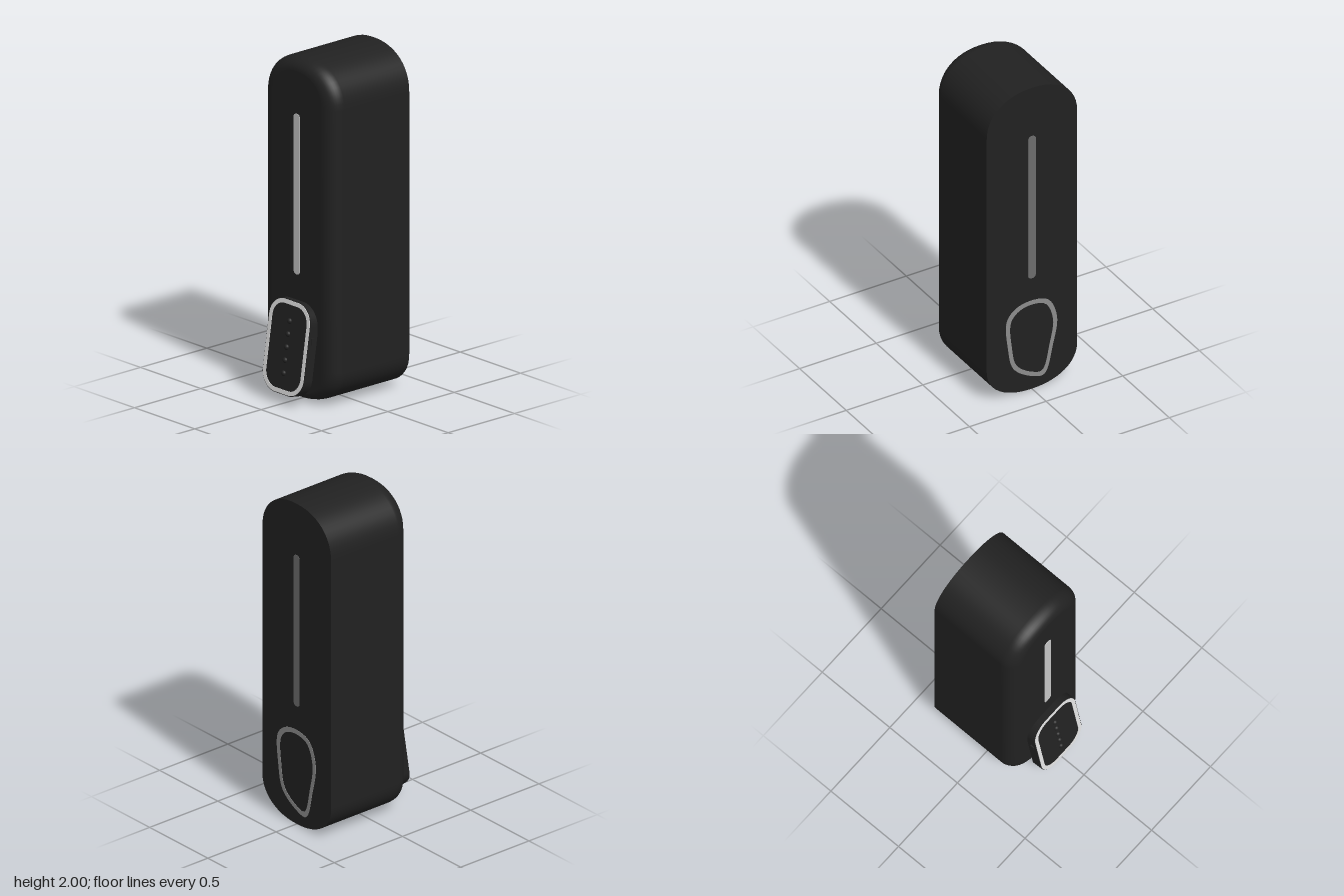
import * as THREE from 'three';

const mat = (name, color) => {
  const m = new THREE.MeshStandardMaterial({ color });
  m.name = name;
  return m;
};

// Rounded rectangle centred on the origin
function roundedRect(w, h, r, Kind = THREE.Shape) {
  const s = new Kind(), x = w / 2, y = h / 2;
  s.moveTo(-x + r, -y);
  s.lineTo(x - r, -y);
  s.absarc(x - r, -y + r, r, -Math.PI / 2, 0);
  s.lineTo(x, y - r);
  s.absarc(x - r, y - r, r, 0, Math.PI / 2);
  s.lineTo(-x + r, y);
  s.absarc(-x + r, y - r, r, Math.PI / 2, Math.PI);
  s.lineTo(-x, -y + r);
  s.absarc(-x + r, -y + r, r, Math.PI, Math.PI * 1.5);
  return s;
}

const plate = (shape, depth) =>
  new THREE.ExtrudeGeometry(shape, { depth, bevelEnabled: false, curveSegments: 12 });

// Outline with domed ends, inset by a fraction t of the front edge rounding
function outline(t) {
  const pts = [], n = 24, hx = 0.295 - 0.09 * t;
  const top = 2 - 0.07 * t, bottom = 0.04 * t;
  const end = (yMid, ry, from) => {
    for (let i = 0; i <= n; i++) {
      const a = from + Math.PI * i / n, c = Math.cos(a), s = Math.sin(a);
      const p = v => Math.sign(v) * Math.pow(Math.abs(v), 2 / 2.2);
      pts.push([hx * p(c), yMid + ry * p(s)]);
    }
  };
  end(1.75, top - 1.75, 0);
  end(0.21, 0.21 - bottom, Math.PI);
  return pts;
}

// Shell lofted from the back edge to the rounded front edge, then both flat faces
function bodyGeometry() {
  const BACK = -0.348, FRONT = 0.23, R = 0.09, steps = 10;
  const rings = [{ z: BACK, t: 0 }];
  for (let i = 0; i <= steps; i++) {
    const a = (i / steps) * Math.PI / 2;
    rings.push({ z: FRONT - R + R * Math.sin(a), t: 1 - Math.cos(a) });
  }
  const pos = [], idx = [];
  const addRing = ({ z, t }) => {
    const start = pos.length / 3;
    outline(t).forEach(([x, y]) => pos.push(x, y, z));
    return start;
  };
  const starts = rings.map(addRing);
  const n = outline(0).length;
  for (let k = 0; k < starts.length - 1; k++) {
    for (let i = 0; i < n; i++) {
      const j = (i + 1) % n, a = starts[k], b = starts[k + 1];
      idx.push(a + i, a + j, b + j, a + i, b + j, b + i);
    }
  }
  const cap = (ring, flip) => {
    const s = addRing(ring), c = pos.length / 3;
    pos.push(0, 1, ring.z);
    for (let i = 0; i < n; i++) {
      const j = (i + 1) % n;
      idx.push(c, s + (flip ? j : i), s + (flip ? i : j));
    }
  };
  cap(rings[0], true);
  cap(rings[rings.length - 1], false);
  const g = new THREE.BufferGeometry();
  g.setAttribute('position', new THREE.Float32BufferAttribute(pos, 3));
  g.setIndex(idx);
  g.computeVertexNormals();
  return g;
}

export function createModel() {
  const black = mat('matte black', 0x212121);
  const silver = mat('silver', 0xc6c6c6);
  const white = mat('bright trim', 0xdedede);
  const grey = mat('back grey', 0x6c6c6c);
  const paleGrey = mat('back ring grey', 0x8c8c8c);

  const model = new THREE.Group();
  model.name = 'dispenser';
  const add = (name, geo, material, x = 0, y = 0, z = 0, parent = model) => {
    const m = new THREE.Mesh(geo, material);
    m.name = name;
    m.position.set(x, y, z);
    parent.add(m);
    return m;
  };

  add('body', bodyGeometry(), black);

  // Level strips, front and back
  const strip = plate(roundedRect(0.05, 0.945, 0.022), 0.004);
  add('frontStrip', strip, silver, 0, 1.2075, 0.229);
  add('backStrip', strip, grey, 0, 1.2075, -0.35);

  // Uneven ring on the back
  const ringPoints = [
    [0.16, 0.51], [0.07, 0.58], [-0.1, 0.563], [-0.163, 0.43], [-0.135, 0.244],
    [-0.08, 0.073], [0, 0.085], [0.12, 0.17], [0.157, 0.317],
  ].map(([x, y]) => new THREE.Vector3(x, y, 0));
  const loop = new THREE.CatmullRomCurve3(ringPoints, true).getPoints(60);
  const backRing = new THREE.Shape(loop.map(p => new THREE.Vector2(p.x, p.y)));
  backRing.holes.push(new THREE.Path(loop.map(p =>
    new THREE.Vector2(p.x * 0.84, 0.34 + (p.y - 0.34) * 0.89))));
  add('backRing', plate(backRing, 0.004), paleGrey, 0, 0, -0.35);

  // Tilted push lever, with its front face at local z = 0
  const lever = new THREE.Group();
  lever.name = 'pushLever';
  lever.position.set(0, 0.325, 0.308);
  lever.rotation.x = -0.15;
  model.add(lever);
  add('leverPlate', plate(roundedRect(0.342, 0.54, 0.115), 0.062), black, 0, 0, -0.062, lever);

  const trim = roundedRect(0.334, 0.532, 0.112);
  trim.holes.push(roundedRect(0.286, 0.484, 0.09, THREE.Path));
  add('leverTrim', plate(trim, 0.004), white, 0, 0, -0.001, lever);

  // Grip bumps down the middle of the lever
  const bump = new THREE.SphereGeometry(0.017, 16, 10);
  for (let i = 0; i < 5; i++) {
    add('gripBump', bump, black, 0, -0.15 + i * 0.075, -0.003, lever);
  }

  // Hinge tabs on both sides
  for (const side of [-1, 1]) {
    add('hingeTab', new THREE.BoxGeometry(0.012, 0.04, 0.022), black, side * 0.172, 0.39, 0.27);
  }
  return model;
}
